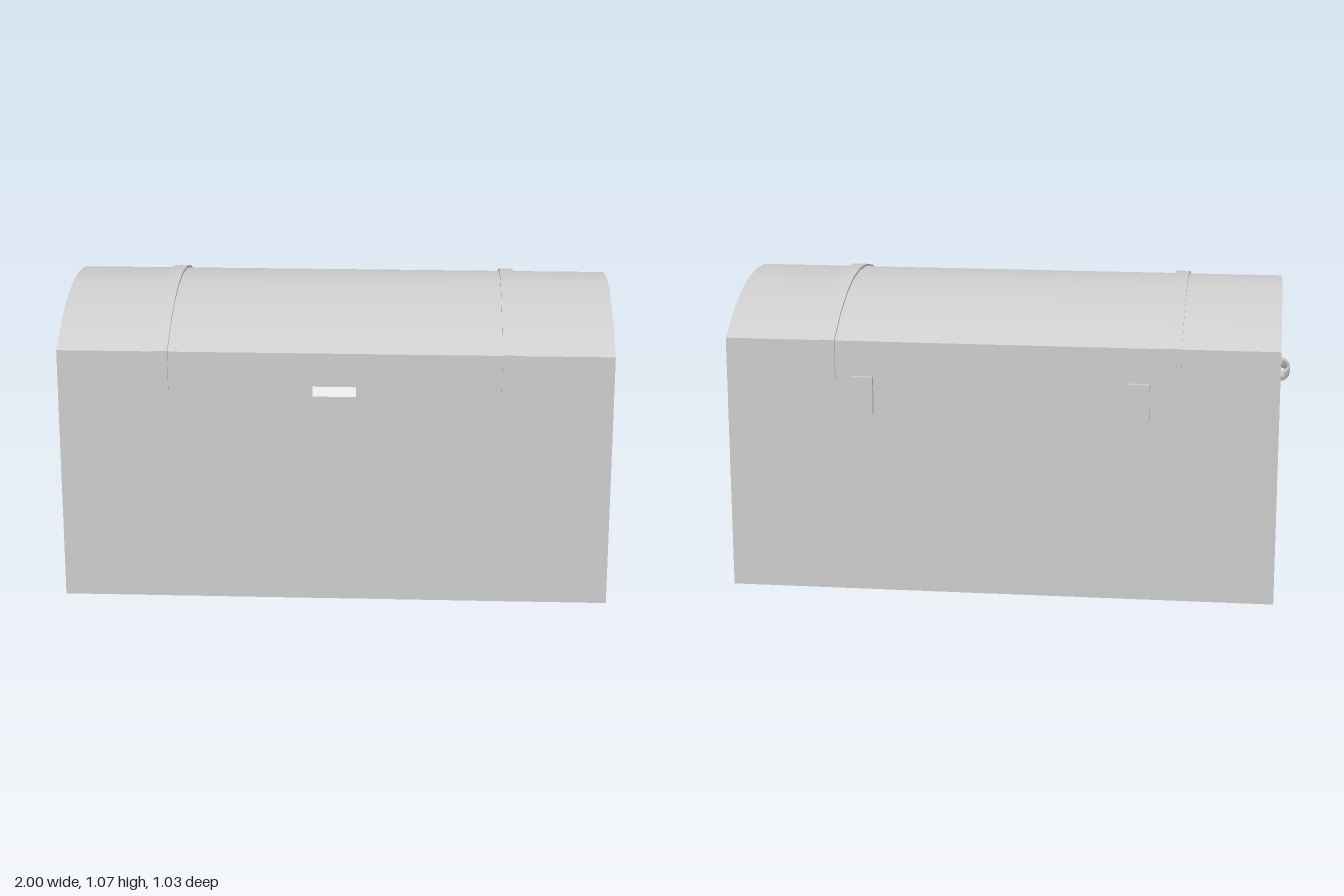
import * as THREE from 'three';
import { toCreasedNormals } from 'three/addons/utils/BufferGeometryUtils.js';

const material = new THREE.MeshStandardMaterial({ color: 0xcccccc });
const CENTRE_Z = -0.003;

function add(parent, name, geometry) {
  const mesh = new THREE.Mesh(geometry, material);
  mesh.name = name;
  parent.add(mesh);
  return mesh;
}

// Arched line from the front edge (+z) to the back edge, as [z, y] points
function arch(half, edgeY, topY, segments = 8) {
  const sag = topY - edgeY;
  const radius = (half * half + sag * sag) / (2 * sag);
  return Array.from({ length: segments + 1 }, (_, i) => {
    const z = half - (2 * half * i) / segments;
    return [z, topY - radius + Math.sqrt(radius * radius - z * z)];
  });
}

// Sweep a [z, y] outline along x, centred on x = 0
function sweepX(points, width) {
  const shape = new THREE.Shape(points.map(([z, y]) => new THREE.Vector2(z, y)));
  const geometry = new THREE.ExtrudeGeometry(shape, { depth: width, bevelEnabled: false });
  geometry.translate(0, 0, -width / 2).rotateY(-Math.PI / 2);
  return toCreasedNormals(geometry, 0.5);
}

export function createModel() {
  const model = new THREE.Group();
  model.name = 'chest';

  // Body with domed lid
  const dome = arch(0.492, 0.904, 1.056);
  add(model, 'body', sweepX([[-0.492, 0], [0.492, 0], ...dome], 1.92))
    .position.z = CENTRE_Z;

  // Straps over the lid, hanging down front and back
  const outer = arch(0.501, 0.908, 1.065);
  const inner = arch(0.488, 0.898, 1.05).reverse();
  const strapOutline = [
    [0.501, 0.767], ...outer, [-0.501, 0.767],
    [-0.488, 0.767], ...inner, [0.488, 0.767],
  ];
  const strapGeometry = sweepX(strapOutline, 0.05);

  // Handle: a half ring flattened towards the chest end
  const ring = new THREE.TorusGeometry(0.105, 0.02, 8, 8, Math.PI);
  ring.rotateZ(-Math.PI / 2).rotateX(Math.PI / 2).scale(0.32, 1, 1).translate(0.959, 0, 0);
  const handleGeometry = toCreasedNormals(ring, 0.5);

  for (const side of [1, -1]) {
    const label = side > 0 ? 'left' : 'right';
    add(model, label + 'Strap', strapGeometry).position.set(side * 0.6, 0, CENTRE_Z);

    const handle = add(model, label + 'Handle', handleGeometry);
    handle.position.set(0, 0.728, CENTRE_Z);
    if (side < 0) handle.rotation.y = Math.PI;

    // Hinge plate on the back
    add(model, label + 'Hinge', new THREE.BoxGeometry(0.075, 0.13, 0.03))
      .position.set(side * 0.48, 0.715, -0.497);
  }

  // Latch with sloping top
  add(model, 'latch', sweepX(
    [[0.48, 0.7], [0.513, 0.7], [0.513, 0.757], [0.489, 0.785], [0.48, 0.785]], 0.15));

  return model;
}
